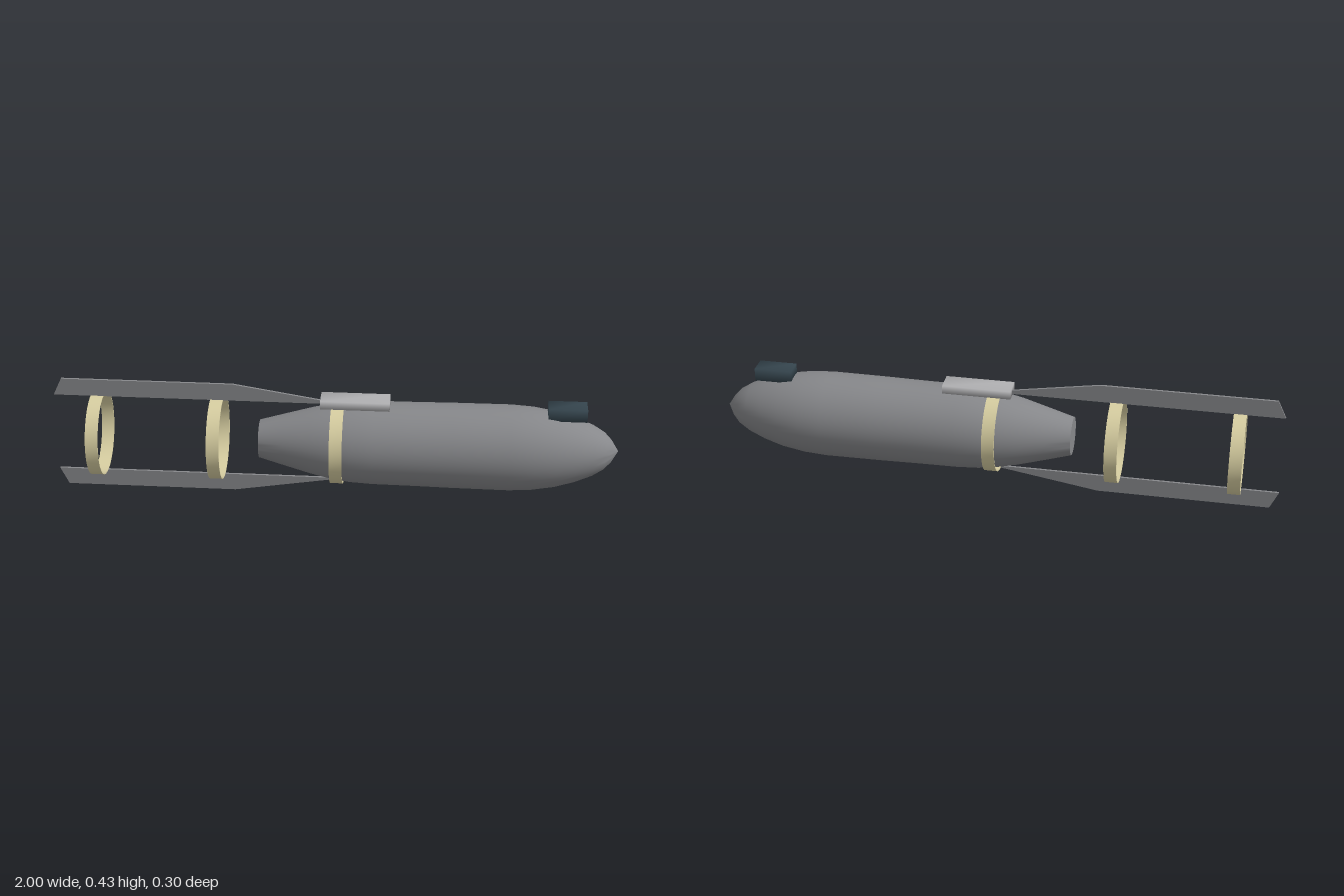
import * as THREE from 'three';
import { mergeVertices, toCreasedNormals } from 'three/addons/utils/BufferGeometryUtils.js';

const AXIS_Y = 0.2125;

export function createModel() {
  const model = new THREE.Group();
  const mat = (name, color) => {
    const m = new THREE.MeshStandardMaterial({ color });
    m.name = name;
    return m;
  };
  const grey = mat('bodyGrey', 0x87888b);
  const pale = mat('paleGrey', 0xb2b2b4);
  const cream = mat('bandCream', 0xd8cfa2);
  const dark = mat('darkSlate', 0x36464f);

  const add = (name, geometry, material, x = 0, y = 0, z = 0) => {
    const mesh = new THREE.Mesh(geometry, material);
    mesh.name = name;
    mesh.position.set(x, y, z);
    model.add(mesh);
    return mesh;
  };

  // Turned shape along x, from [x, radius] pairs
  const turned = (profile, segments) => {
    const g = new THREE.LatheGeometry(profile.map(([x, r]) => new THREE.Vector2(r, x)), segments);
    g.rotateZ(-Math.PI / 2);
    return toCreasedNormals(g, 0.7);
  };

  // Box with shared corner normals for soft shading
  const softBox = (w, h, d) => {
    const g = new THREE.BoxGeometry(w, h, d);
    g.deleteAttribute('normal');
    g.deleteAttribute('uv');
    const merged = mergeVertices(g);
    merged.computeVertexNormals();
    return merged;
  };

  // Streamlined body with a blunt tail and rounded nose
  add('body', turned([
    [-0.267, 0], [-0.267, 0.068], [-0.18, 0.092], [-0.08, 0.119], [0, 0.136], [0.06, 0.144],
    [0.14, 0.148], [0.28, 0.149], [0.42, 0.151], [0.62, 0.152], [0.7, 0.147], [0.78, 0.134],
    [0.85, 0.114], [0.91, 0.09], [0.95, 0.066], [0.975, 0.04], [1, 0],
  ], 48), grey, 0, AXIS_Y);

  // Three thin bands, one around the body and two behind it
  const w = 0.0225, outer = 0.15, inner = 0.146;
  const band = turned([[-w, inner], [-w, outer], [w, outer], [w, inner], [-w, inner]], 40);
  [-0.845, -0.418, 0.012].forEach((x, i) => add('band' + (i + 1), band, cream, x, AXIS_Y));

  // Long tail rails above and below, mirrored about the body axis
  for (const side of [1, -1]) {
    const outline = [[-1, 0.149], [0.04, 0.149], [-0.03, 0.159], [-0.36, 0.2125], [-0.97, 0.2125]];
    const shape = new THREE.Shape(outline.map(([x, y]) => new THREE.Vector2(x, y * side)));
    const g = new THREE.ExtrudeGeometry(shape, { depth: 0.008, bevelEnabled: false });
    g.translate(0, 0, -0.004);
    add(side > 0 ? 'upperRail' : 'lowerRail', g, grey, 0, AXIS_Y);
  }

  // Mounting lug and forward block on top
  add('mountingLug', softBox(0.244, 0.03, 0.076), pale, 0.073, 0.372);
  add('forwardBlock', softBox(0.135, 0.046, 0.068), dark, 0.814, 0.362);

  return model;
}
